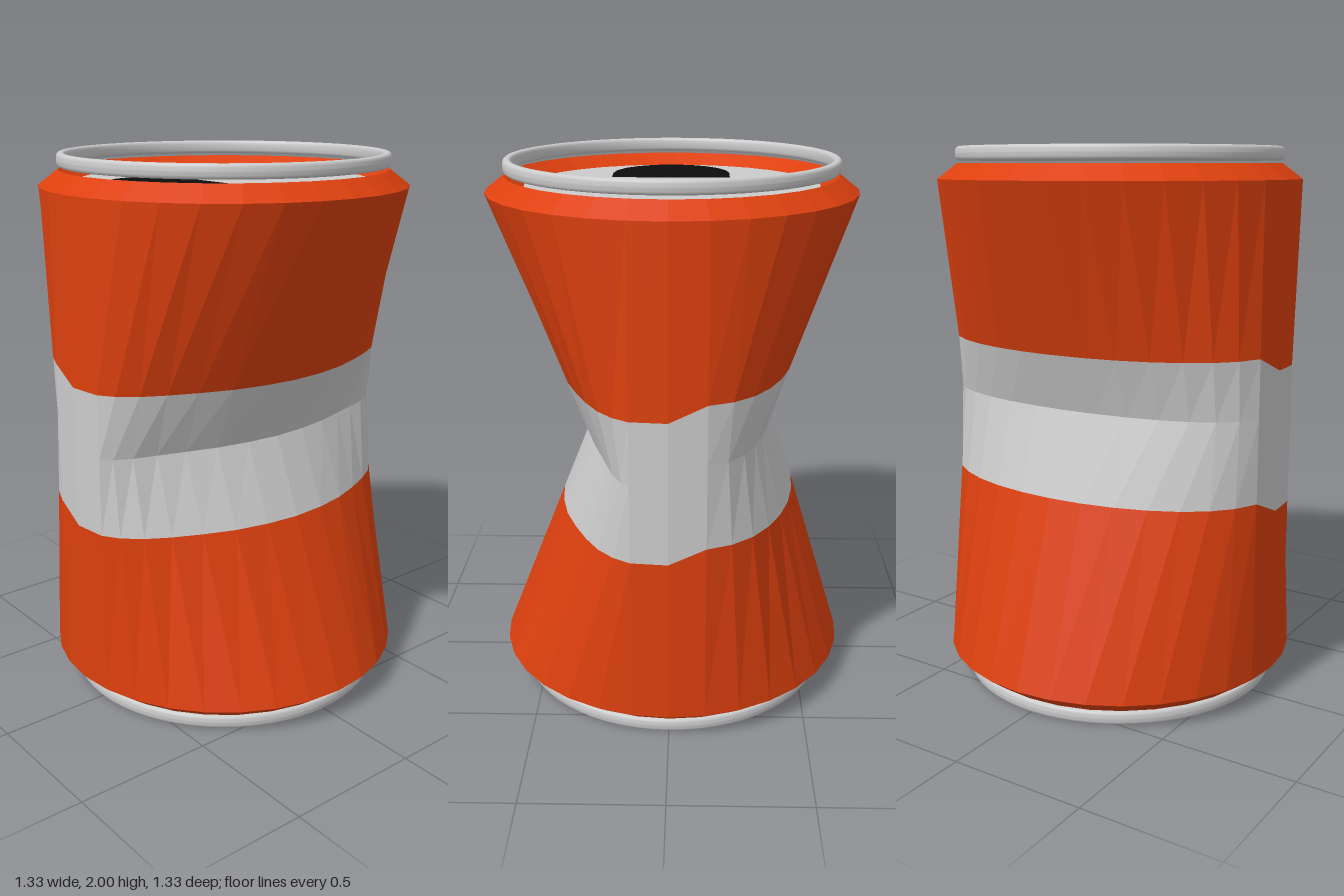
import * as THREE from 'three';

const SIDES = 32;
const R = 0.667;
// x of the pinched waist for each vertex from the centre line out to the side
const DENT_LEFT = [0, 0.13, 0.16, 0.19, 0.215, 0.245, 0.28, 0.302, 0.312];
const DENT_RIGHT = [0, 0.13, 0.2, 0.255, 0.295, 0.328, 0.352, 0.366, 0.371];

const paint = (color, flatShading = true) =>
  new THREE.MeshStandardMaterial({ color, flatShading, side: THREE.DoubleSide });

// Body rings: plain circles
function circleRing(radius, y) {
  return Array.from({ length: SIDES }, (_, i) => {
    const a = (i / SIDES) * Math.PI * 2;
    return new THREE.Vector3(Math.sin(a) * radius, y, Math.cos(a) * radius);
  });
}

// Waist ring: squeezed in x, with a higher fold on the -x side
function waistRing() {
  return circleRing(R, 1).map((p) => {
    const m = Math.round(Math.asin(Math.min(1, Math.abs(p.x) / R)) / (Math.PI / 16));
    const raised = p.x < -0.01;
    return new THREE.Vector3(raised ? -DENT_RIGHT[m] : DENT_LEFT[m], raised ? 1.08 : 1, p.z);
  });
}

// Ring between two others, at one height on the +x side and another on the -x side
function ringBetween(lower, upper, y, yRaised) {
  return lower.map((p, i) => {
    const q = upper[i];
    const target = p.x < -0.01 ? yRaised : y;
    return p.clone().lerp(q, (target - p.y) / (q.y - p.y));
  });
}

// Skin over a list of rings, bottom to top
function loft(rings) {
  const positions = [];
  const index = [];
  rings.forEach((ring) => ring.forEach((p) => positions.push(p.x, p.y, p.z)));
  for (let r = 0; r < rings.length - 1; r++) {
    for (let i = 0; i < SIDES; i++) {
      const j = (i + 1) % SIDES;
      const a = r * SIDES + i, b = r * SIDES + j;
      index.push(a, b, b + SIDES, a, b + SIDES, a + SIDES);
    }
  }
  const geo = new THREE.BufferGeometry();
  geo.setAttribute('position', new THREE.Float32BufferAttribute(positions, 3));
  geo.setIndex(index);
  geo.computeVertexNormals();
  return geo;
}

export function createModel() {
  const group = new THREE.Group();
  const orange = paint(0xdd400e);
  const grey = paint(0xcccccc);
  const smoothGrey = paint(0xcccccc, false);
  const black = paint(0x0d0d0d);

  const add = (name, geometry, material, y = 0) => {
    const mesh = new THREE.Mesh(geometry, material);
    mesh.name = name;
    mesh.position.y = y;
    group.add(mesh);
    return mesh;
  };

  // Crushed body in three bands
  const bottom = circleRing(R, 0.11);
  const top = circleRing(R, 1.885);
  const waist = waistRing();
  const bandLow = ringBetween(bottom, waist, 0.72, 0.775);
  const bandHigh = ringBetween(waist, top, 1.232, 1.29);
  add('lowerBody', loft([circleRing(0.53, 0.1), circleRing(0.595, 0.055), bottom, bandLow]), orange);
  add('middleBand', loft([bandLow, waist, bandHigh]), grey);
  add('upperBody', loft([bandHigh, top, circleRing(0.595, 1.94), circleRing(0.53, 1.9)]), orange);

  // Lid and base discs
  add('lid', new THREE.CircleGeometry(0.53, SIDES).rotateX(-Math.PI / 2), grey, 1.9);
  add('base', new THREE.CircleGeometry(0.53, SIDES).rotateX(Math.PI / 2), grey, 0.1);

  // Rounded rims
  const profile = [];
  for (let i = 0; i <= 16; i++) {
    const a = (i / 16) * Math.PI * 2;
    const soften = (v) => Math.sign(v) * Math.pow(Math.abs(v), 0.7);
    profile.push(new THREE.Vector2(0.583 + 0.0165 * soften(Math.cos(a)), 0.025 * soften(Math.sin(a))));
  }
  const rim = new THREE.LatheGeometry(profile, 64);
  add('bottomRim', rim, smoothGrey, 0.025);
  add('topRim', rim, smoothGrey, 1.975);

  // Drinking hole: flat at the back, round towards the front
  const hole = new THREE.Shape();
  hole.moveTo(-0.21, -0.132);
  for (let i = 0; i <= 10; i++) {
    const a = Math.PI + (i / 10) * Math.PI;
    hole.lineTo(0.008 + 0.22 * Math.cos(a), -0.25 + 0.245 * Math.sin(a));
  }
  hole.lineTo(0.225, -0.132);
  add('drinkingHole', new THREE.ShapeGeometry(hole).rotateX(-Math.PI / 2), black, 1.905);

  return group;
}
